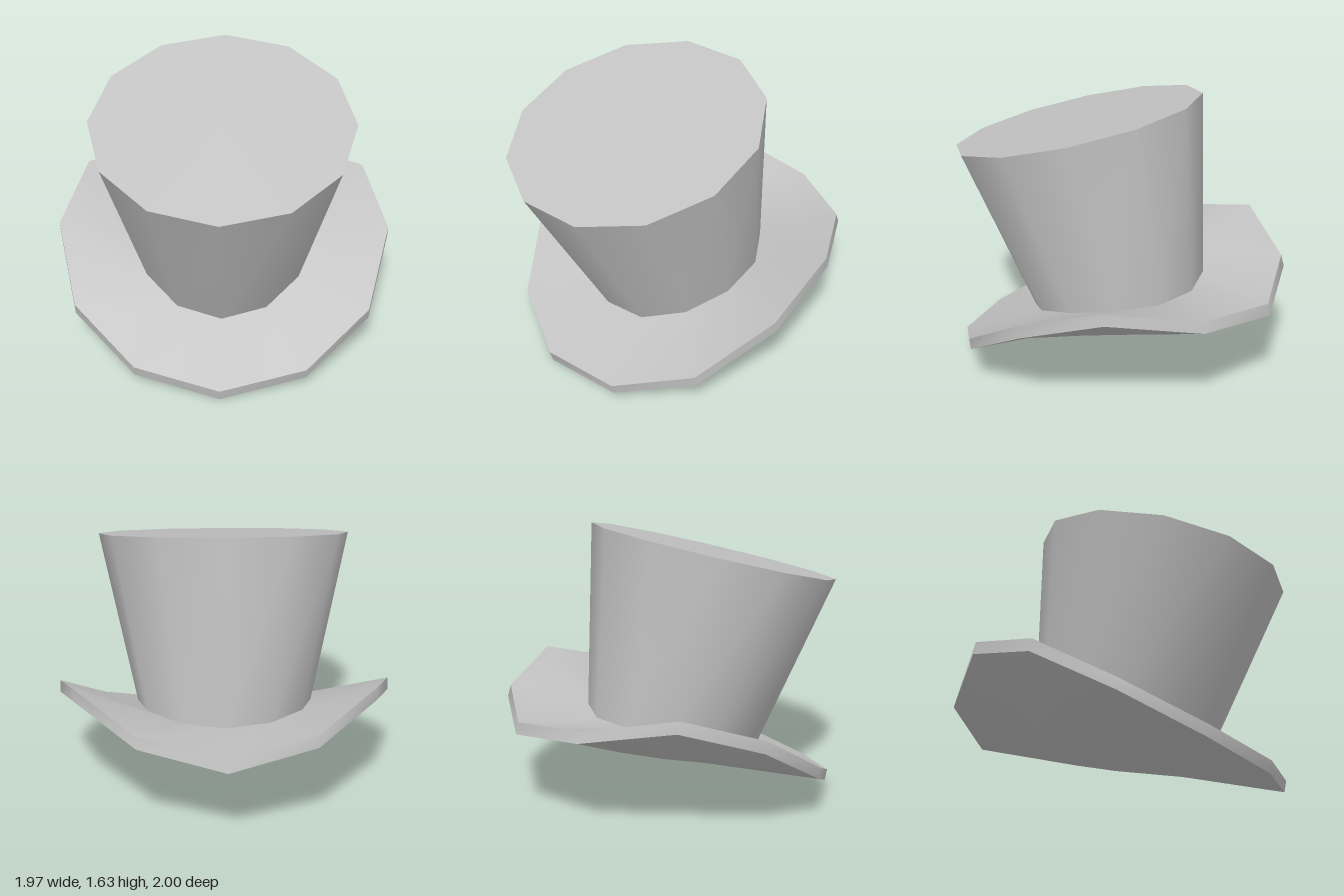
import * as THREE from 'three';

const SIDES = 12;
const TILT = Math.PI / 12;

// Tilted ring whose sides curl upward by bend * x^2
function ring(r, y, z, bend = 0) {
  return Array.from({ length: SIDES }, (_, i) => {
    const a = (i / SIDES) * Math.PI * 2;
    const x = r * Math.sin(a), d = r * Math.cos(a);
    return [x, y - d * Math.sin(TILT) + bend * x * x, z + d * Math.cos(TILT)];
  });
}

// Full ring from its +x half, listed front to back
function mirrored(half) {
  return [...half, ...half.slice(1, -1).reverse().map(([x, y, z]) => [-x, y, z])];
}

// Smooth skin over successive rings; a one-point ring closes the surface
function skin(name, material, rings) {
  const index = [], starts = [];
  let n = 0;
  for (const r of rings) { starts.push(n); n += r.length; }
  for (let k = 0; k < rings.length - 1; k++) {
    const at = (m, i) => starts[m] + (i % rings[m].length);
    for (let i = 0; i < SIDES; i++) {
      if (rings[k].length > 1) index.push(at(k, i), at(k, i + 1), at(k + 1, i + 1));
      if (rings[k + 1].length > 1) index.push(at(k, i), at(k + 1, i + 1), at(k + 1, i));
    }
  }
  const geometry = new THREE.BufferGeometry();
  geometry.setAttribute('position', new THREE.Float32BufferAttribute(rings.flat(2), 3));
  geometry.setIndex(index);
  geometry.computeVertexNormals();
  const mesh = new THREE.Mesh(geometry, material);
  mesh.name = name;
  return mesh;
}

export function createModel() {
  const felt = new THREE.MeshStandardMaterial({ color: 0xc4c4c4 });
  felt.name = 'grey felt';

  // Crown rings
  const crownTop = ring(0.74, 1.44, 0.285);
  const crownBase = ring(0.52, 0.397, 0.005, 0.3);

  // Brim rim, upper and lower outlines
  const rimTop = mirrored([
    [0, 0.075, 0.925], [0.49, 0.135, 0.8], [0.855, 0.325, 0.48], [0.985, 0.6, 0.035],
    [0.855, 0.75, -0.43], [0.49, 0.65, -0.83], [0, 0.585, -0.985],
  ]);
  const rimBottom = mirrored([
    [0, 0.005, 0.91], [0.49, 0.07, 0.785], [0.855, 0.26, 0.47], [0.985, 0.53, 0.02],
    [0.855, 0.68, -0.445], [0.49, 0.585, -0.85], [0, 0.515, -1],
  ]);
  const underside = ring(0.48, 0.26, -0.055, 0.3);

  const hat = new THREE.Group();
  hat.name = 'topHat';
  hat.add(
    skin('crownSide', felt, [crownBase, crownTop]),
    skin('crownTop', felt, [crownTop, [[0, 1.44, 0.285]]]),
    skin('brimTop', felt, [rimTop, crownBase]),
    skin('brimEdge', felt, [rimBottom, rimTop]),
    skin('brimUnderside', felt, [[[0, 0.295, -0.04]], underside, rimBottom]),
  );
  return hat;
}
